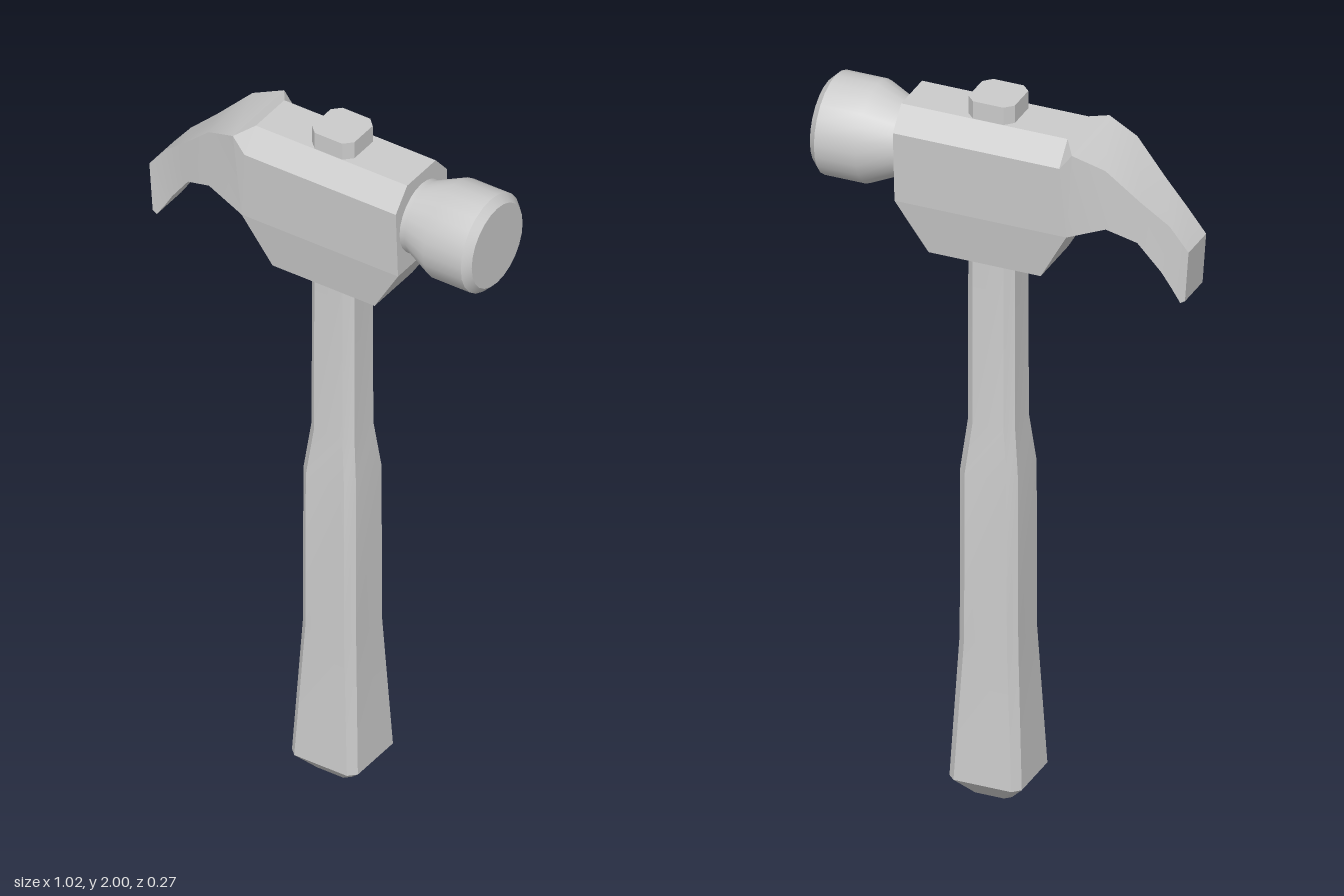
import * as THREE from 'three';
import { toCreasedNormals } from 'three/addons/utils/BufferGeometryUtils.js';
import { ConvexGeometry } from 'three/addons/geometries/ConvexGeometry.js';

const material = new THREE.MeshStandardMaterial({ color: 0xcccccc });
const CREASE = 0.55;
const AXIS_X = 0.04; // handle centre line

function addMesh(group, name, geometry) {
  const mesh = new THREE.Mesh(geometry, material);
  mesh.name = name;
  group.add(mesh);
  return mesh;
}

// Skin a row of equal-length rings and cap both ends
function loft(rings) {
  const n = rings[0].length;
  const last = (rings.length - 1) * n;
  const index = [];
  for (let i = 0; i < rings.length - 1; i++) {
    for (let j = 0; j < n; j++) {
      const k = (j + 1) % n;
      const a = i * n + j, b = i * n + k;
      index.push(a, b, b + n, a, b + n, a + n);
    }
  }
  for (let j = 1; j < n - 1; j++) {
    index.push(0, j + 1, j, last, last + j, last + j + 1);
  }
  const geometry = new THREE.BufferGeometry();
  geometry.setAttribute('position', new THREE.Float32BufferAttribute(rings.flat(2), 3));
  geometry.setIndex(index);
  return toCreasedNormals(geometry, CREASE);
}

// Square with cut corners: h = half width, f = half width of the flat side
const octagon = ([y, h, f]) =>
  [[f, h], [h, f], [h, -f], [f, -h], [-f, -h], [-h, -f], [-h, f], [-f, h]]
    .map(([x, z]) => [AXIS_X + x, y, z]);

// Convex block from points mirrored across z
function block(points) {
  return new ConvexGeometry(points.flatMap(([x, y, z]) =>
    [new THREE.Vector3(x, y, z), new THREE.Vector3(x, y, -z)]));
}

export function createModel() {
  const hammer = new THREE.Group();
  hammer.name = 'hammer';

  // Handle: height, half width, half flat; the top pokes through the head
  addMesh(hammer, 'handle', loft([
    [0, 0.055, 0.04],
    [0.05, 0.1, 0.08],
    [0.45, 0.081, 0.059],
    [0.93, 0.08, 0.058],
    [1.07, 0.065, 0.043],
    [2, 0.064, 0.042],
  ].map(octagon)));

  const head = new THREE.Group();
  head.name = 'head';
  hammer.add(head);

  // Main block with tapered underside and chamfered top edges
  addMesh(head, 'headBlock', block([
    [-0.115, 1.55, 0.086], [0.195, 1.55, 0.086],
    [-0.195, 1.69, 0.107], [0.28, 1.69, 0.107],
    [-0.18, 1.89, 0.117], [0.28, 1.89, 0.117],
    [-0.18, 1.95, 0.065], [0.28, 1.95, 0.065],
  ]));

  // Wedge where the chamfers run out into the claw
  addMesh(head, 'clawRoot', block([
    [-0.195, 1.69, 0.107], [-0.215, 1.935, 0.117],
    [-0.18, 1.89, 0.117], [-0.18, 1.95, 0.065],
  ]));

  // Claw: top x, y, half depth, then bottom x, y, half depth
  addMesh(head, 'claw', loft([
    [-0.215, 1.935, 0.117, -0.195, 1.69, 0.107],
    [-0.3, 1.902, 0.1, -0.3, 1.732, 0.098],
    [-0.39, 1.815, 0.075, -0.378, 1.7, 0.077],
    [-0.458, 1.755, 0.056, -0.437, 1.62, 0.06],
    [-0.51, 1.69, 0.055, -0.463, 1.577, 0.055],
    [-0.5, 1.548, 0.055, -0.487, 1.54, 0.055],
  ].map(([tx, ty, tz, bx, by, bz]) =>
    [[bx, by, bz], [tx, ty, tz], [tx, ty, -tz], [bx, by, -bz]])));

  // Neck and striking face, turned around the x axis
  const profile = [[0, 0.26], [0.1, 0.26], [0.1, 0.295], [0.136, 0.375],
    [0.136, 0.49], [0.116, 0.51], [0, 0.51]].map(([r, x]) => new THREE.Vector2(r, x));
  const poll = addMesh(head, 'strikingFace',
    toCreasedNormals(new THREE.LatheGeometry(profile, 24), CREASE));
  poll.rotation.z = -Math.PI / 2;
  poll.position.y = 1.816;

  return hammer;
}
